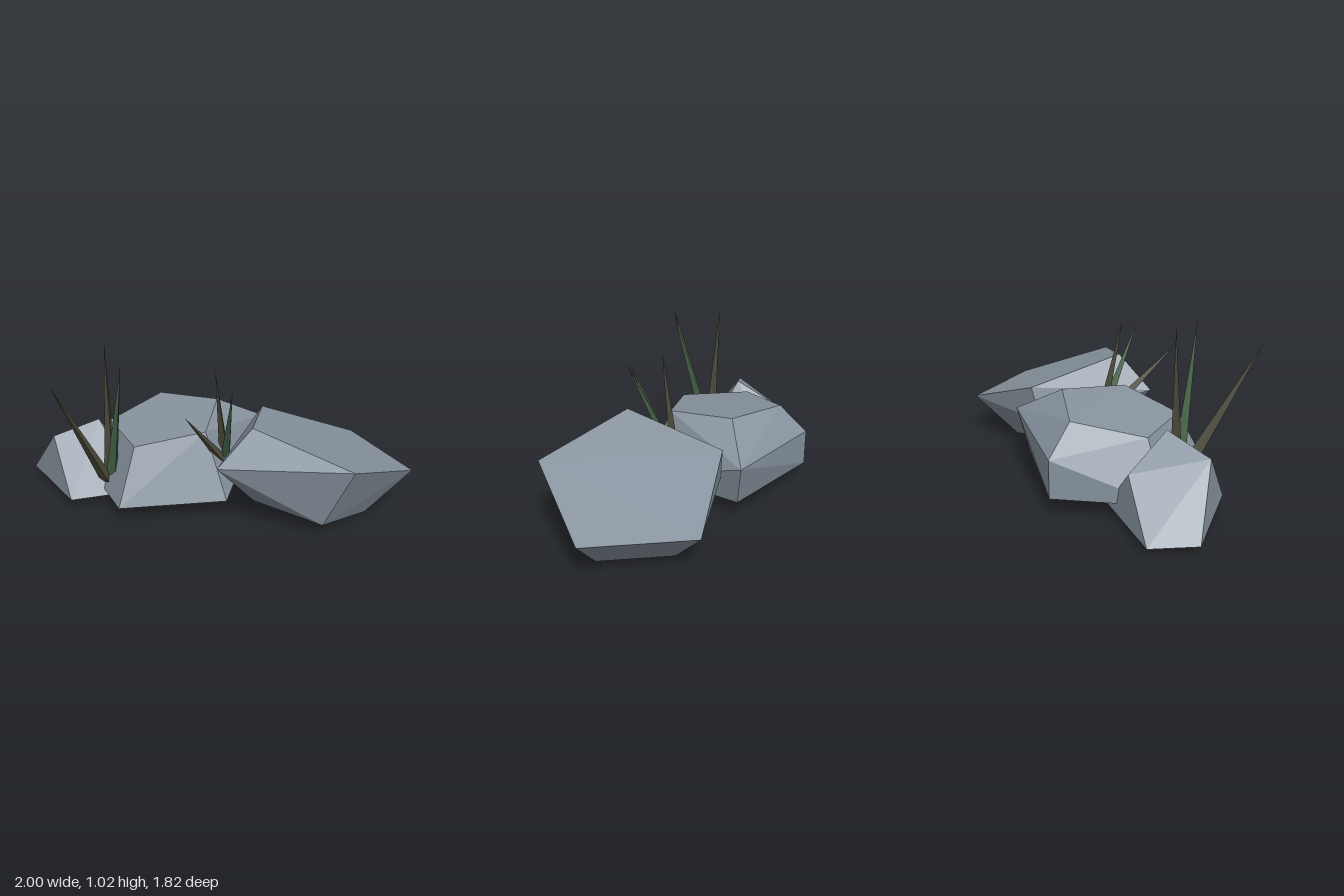
import * as THREE from 'three';
import { ConvexGeometry } from 'three/addons/geometries/ConvexGeometry.js';

const material = (name, color) => {
  const m = new THREE.MeshStandardMaterial({ color, flatShading: true });
  m.name = name;
  return m;
};

// Faceted boulder spanned by a few corner points
function rock(name, corners, mat) {
  const mesh = new THREE.Mesh(
    new ConvexGeometry(corners.map((c) => new THREE.Vector3(...c))), mat);
  mesh.name = name;
  return mesh;
}

// Three-sided spike from base to tip, pinched at its root
function blade(base, tip, width, mat) {
  const from = new THREE.Vector3(...base);
  const dir = new THREE.Vector3(...tip).sub(from);
  const length = dir.length();
  const profile = [[0, 0], [width, 0.13 * length], [0, length]]
    .map(([r, y]) => new THREE.Vector2(r, y));
  const mesh = new THREE.Mesh(new THREE.LatheGeometry(profile, 3), mat);
  mesh.position.copy(from);
  mesh.quaternion.setFromUnitVectors(new THREE.Vector3(0, 1, 0), dir.normalize());
  mesh.name = 'grassBlade';
  return mesh;
}

function tuft(name, base, tips, width, mats) {
  const group = new THREE.Group();
  group.name = name;
  tips.forEach((tip, i) => group.add(blade(base, tip, width, mats[i])));
  return group;
}

export function createModel() {
  const stone = material('slate grey', 0x87939e);
  const green = material('grass green', 0x48664a);
  const olive = material('dry olive', 0x4f4d3d);
  const model = new THREE.Group();
  model.name = 'rocksWithGrass';

  // Tilted front rock
  model.add(rock('frontRock', [
    [0.06, 0.61, 0.385], [0.42, 0.48, -0.14], [1, 0.27, 0.06], [1, 0.27, 0.7], [0.42, 0.48, 0.905],
    [-0.17, 0.395, 0.385], [0.355, 0.26, -0.14],
    [0.74, 0, 0.61], [0.74, 0, 0.17], [0.34, 0.08, 0.74], [0.34, 0.08, 0.04], [0.08, 0.125, 0.385],
  ], stone));

  // Wide middle rock
  model.add(rock('middleRock', [
    [0.14, 0.545, -0.24], [-0.11, 0.505, -0.595], [-0.52, 0.435, -0.46], [-0.52, 0.435, -0.02], [-0.11, 0.505, 0.11],
    [0.47, 0.37, -0.24], [-0.07, 0.33, -0.765],
    [0.38, 0.1, -0.24], [-0.07, 0.1, -0.765], [-0.67, 0.1, -0.56], [-0.67, 0.1, 0.08], [-0.05, 0.1, 0.28],
  ], stone));

  // Small back rock
  model.add(rock('backRock', [
    [-0.89, 0.39, -0.475], [-0.61, 0.48, -0.41], [-0.51, 0.31, -0.69],
    [-0.96, 0.05, -0.785], [-0.72, 0.04, -0.915], [-0.33, 0.045, -0.57], [-0.45, 0.065, -0.13], [-0.88, 0.06, -0.21],
  ], stone));

  // Grass tufts growing between the rocks
  const mats = [olive, green, olive];
  model.add(tuft('tallTuft', [-0.61, 0.08, -0.22],
    [[-1, 0.915, 0], [-0.6, 1, 0.04], [-0.59, 1.025, -0.27]], 0.042, mats));
  model.add(tuft('shortTuft', [0.04, 0.25, 0.09],
    [[-0.35, 0.74, 0.35], [-0.07, 0.85, 0.38], [-0.07, 0.91, 0.16]], 0.035, mats));
  return model;
}
